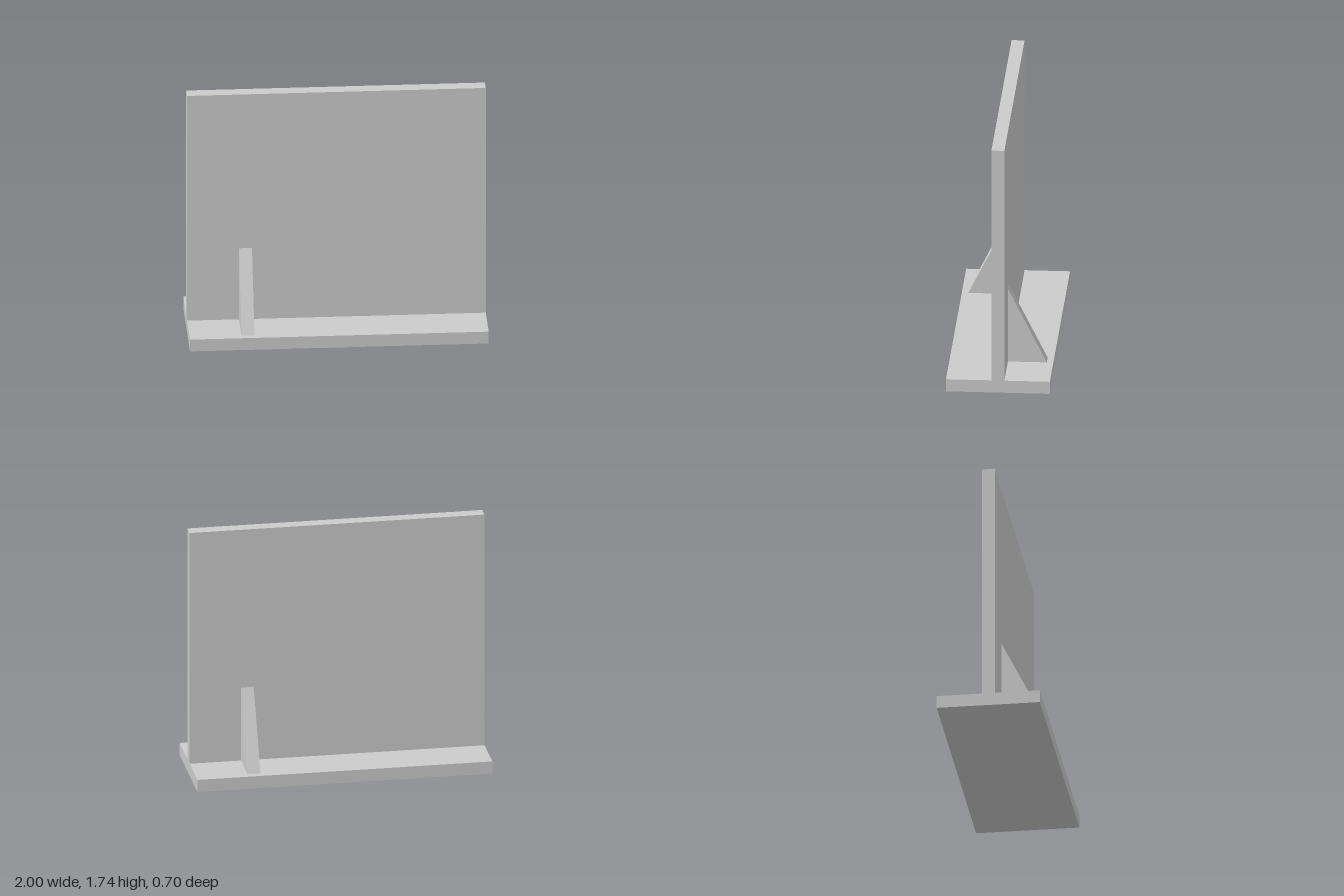
import * as THREE from 'three';

const T = 2 / 23; // shared plate thickness

// Extrude a (z, y) profile along x, centred on x = 0
function extrudeAlongX(points, width) {
  const shape = new THREE.Shape(points.map(([z, y]) => new THREE.Vector2(z, y)));
  const geometry = new THREE.ExtrudeGeometry(shape, { depth: width, bevelEnabled: false });
  geometry.translate(0, 0, -width / 2);
  geometry.rotateY(-Math.PI / 2);
  return geometry;
}

export function createModel() {
  const model = new THREE.Group();
  model.name = 'bracedPanelStand';
  const grey = new THREE.MeshStandardMaterial({ color: 0xcccccc });
  grey.name = 'light grey';

  // Base plate and upright panel as one inverted T
  const half = T / 2, foot = 4 * T, top = 20 * T;
  const panel = new THREE.Mesh(extrudeAlongX([
    [-foot, 0], [foot, 0], [foot, T], [half, T],
    [half, top], [-half, top], [-half, T], [-foot, T],
  ], 2), grey);
  panel.name = 'panelAndBase';
  model.add(panel);

  // Triangular braces: front one on the right, back one on the left
  const braceGeometry = extrudeAlongX([[half, T], [half + 3 * T, T], [half, 7 * T]], T);
  for (const [name, x, turn] of [['frontBrace', -7 * T, 0], ['backBrace', 7 * T, Math.PI]]) {
    const brace = new THREE.Mesh(braceGeometry, grey);
    brace.name = name;
    brace.position.x = x;
    brace.rotation.y = turn;
    model.add(brace);
  }
  return model;
}
